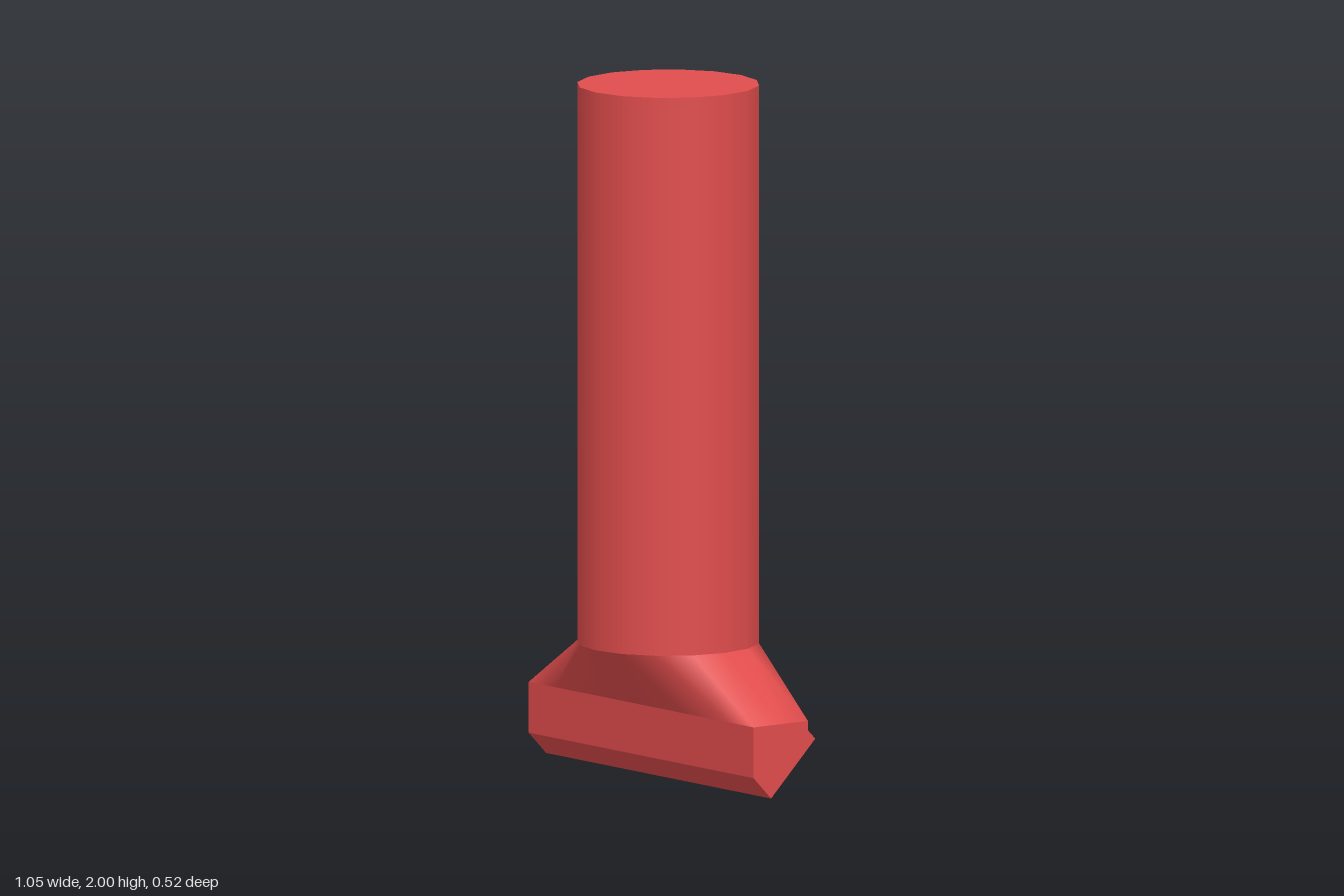
import * as THREE from 'three';

export function createModel() {
  const group = new THREE.Group();
  const material = new THREE.MeshStandardMaterial({ color: 0xe04c4c });
  const add = (name, geometry, x = 0, y = 0) => {
    const mesh = new THREE.Mesh(geometry, material);
    mesh.name = name;
    mesh.position.set(x, y, 0);
    group.add(mesh);
  };

  const R = 0.262, SIDES = 16, HALF = 0.525, DEPTH = 0.098;
  const TOP = 2, NECK = 0.385, HEAD = 0.212;

  // Upright round handle
  add('handle', new THREE.CylinderGeometry(R, R, TOP - NECK, SIDES), 0, (TOP + NECK) / 2);

  // Neck: the bottom ring of a tube is moved onto the head's rectangle
  const neck = new THREE.CylinderGeometry(R, R, NECK - HEAD, SIDES, 1, true);
  const pos = neck.attributes.position;
  const along = [0, 0.2, 0.4, HALF, HALF]; // x of the rectangle points in one quarter
  const across = [DEPTH, DEPTH, DEPTH, DEPTH, 0];
  for (let i = 0; i < pos.count; i++) {
    if (pos.getY(i) > 0) continue;
    const x = pos.getX(i), z = pos.getZ(i);
    const k = Math.round(Math.atan2(Math.abs(x), Math.abs(z)) / (Math.PI / 8));
    pos.setX(i, Math.sign(x) * along[k]);
    pos.setZ(i, Math.sign(z) * across[k]);
  }
  neck.computeVertexNormals();
  add('neck', neck, 0, (NECK + HEAD) / 2);

  // Head: side profile as [z, y], extruded along x
  const slab = (points, width) => {
    const shape = new THREE.Shape(points.map(([z, y]) => new THREE.Vector2(z, y)));
    return new THREE.ExtrudeGeometry(shape, { depth: width, bevelEnabled: false })
      .translate(0, 0, -width / 2)
      .rotateY(-Math.PI / 2);
  };
  const front = [[-DEPTH, HEAD], [DEPTH, HEAD], [DEPTH, 0.065], [0.035, 0]];
  const back = [[-0.125, 0.158], [-DEPTH, 0.185]];
  // Slot sunk into the slanted underside
  const slot = [[0.013, 0.021], [0.076, 0.084], [-0.039, 0.197], [-0.102, 0.134]];
  const rim = 0.05;

  add('slottedHead', slab([...front, ...slot, ...back], 2 * (HALF - rim)));
  for (const side of [-1, 1]) {
    add(side > 0 ? 'leftHeadEnd' : 'rightHeadEnd', slab([...front, ...back], rim), side * (HALF - rim / 2));
  }
  return group;
}
